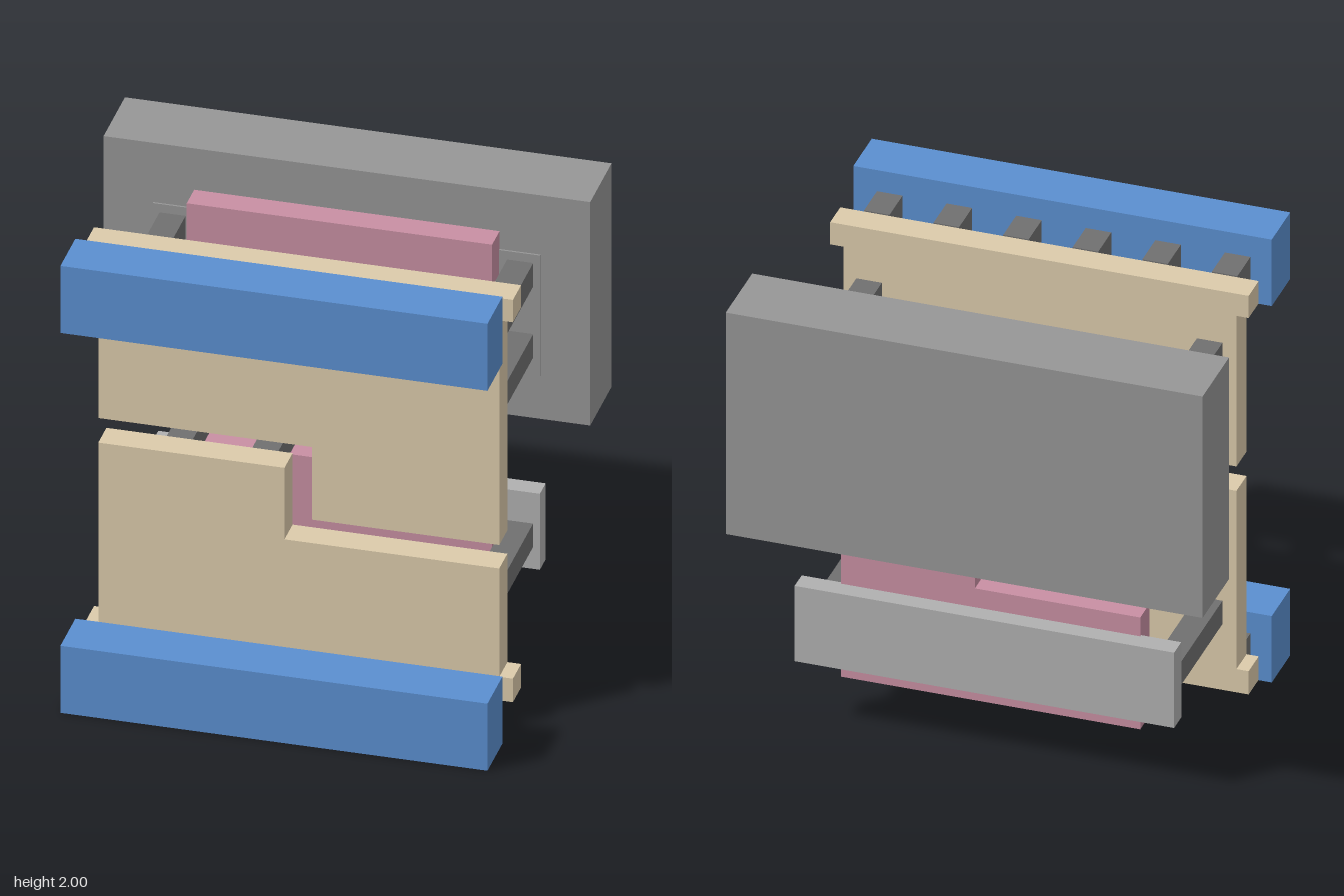
import * as THREE from 'three';

const paint = (color) => new THREE.MeshStandardMaterial({ color });

export function createModel() {
  const model = new THREE.Group();
  const blue = paint(0x5b8fd0), tan = paint(0xdccbab), pink = paint(0xc88fa3);
  const rodGrey = paint(0x707070), wallGrey = paint(0x969696), plateGrey = paint(0xb0b0b0);

  // Box given by its extents on each axis
  function box(name, material, [x0, x1], [y0, y1], [z0, z1]) {
    const mesh = new THREE.Mesh(new THREE.BoxGeometry(x1 - x0, y1 - y0, z1 - z0), material);
    mesh.position.set((x0 + x1) / 2, (y0 + y1) / 2, (z0 + z1) / 2);
    mesh.name = name;
    model.add(mesh);
  }

  // Flat plate cut from an outline in x and y
  function plate(name, material, outline, [z0, z1]) {
    const shape = new THREE.Shape(outline.map(([x, y]) => new THREE.Vector2(x, y)));
    const geometry = new THREE.ExtrudeGeometry(shape, { depth: z1 - z0, bevelEnabled: false });
    const mesh = new THREE.Mesh(geometry, material);
    mesh.position.z = z0;
    mesh.name = name;
    model.add(mesh);
  }

  const rod = (name, x, y, z) =>
    box(name, rodGrey, [x - 0.0525, x + 0.0525], [y - 0.0525, y + 0.0525], z);

  // Front bars
  box('upperFrontBar', blue, [-0.86, 0.86], [1.7, 2], [0.475, 0.695]);
  box('lowerFrontBar', blue, [-0.86, 0.86], [0, 0.3], [0.475, 0.695]);

  // Stepped front plates with wider outer rails
  const frontZ = [0.2, 0.32];
  plate('upperFrontPlate', tan, [
    [-0.86, 1.9], [-0.86, 1.8], [-0.81, 1.8], [-0.81, 1.12], [0.05, 1.12], [0.05, 0.795],
    [0.805, 0.795], [0.805, 1.8], [0.86, 1.8], [0.86, 1.9],
  ], frontZ);
  plate('lowerFrontPlate', tan, [
    [-0.86, 0.1], [0.86, 0.1], [0.86, 0.205], [0.805, 0.205], [0.805, 0.69], [-0.06, 0.69],
    [-0.06, 1.01], [-0.81, 1.01], [-0.81, 0.205], [-0.86, 0.205],
  ], frontZ);

  // Stepped inner plates
  const innerZ = [-0.38, -0.27];
  plate('upperInnerPlate', pink, [
    [-0.615, 1.785], [-0.615, 0.865], [-0.065, 0.865], [-0.065, 1.085], [0.615, 1.085], [0.615, 1.785],
  ], innerZ);
  plate('lowerInnerPlate', pink, [
    [-0.615, 0.22], [0.615, 0.22], [0.615, 0.945], [0.065, 0.945], [0.065, 0.725], [-0.615, 0.725],
  ], innerZ);

  // Rear block with its shallow pad, and the lower rear plate
  box('rearBlock', wallGrey, [-0.98, 0.98], [0.97, 1.97], [-0.695, -0.38]);
  box('rearBlockPad', wallGrey, [-0.78, 0.78], [1.165, 1.705], [-0.39, -0.372]);
  box('lowerRearPlate', plateGrey, [-0.78, 0.78], [0.3, 0.64], [-0.455, -0.37]);

  // Short rods between the front bars and the front plates
  for (let i = 0; i < 6; i++) {
    const x = -0.72 + i * 0.286;
    rod('upperFrontRod', x, 1.8525, [0.32, 0.475]);
    rod('lowerFrontRod', x, 0.1525, [0.32, 0.475]);
  }

  // Long rods from the front plates to the rear parts
  for (const x of [-0.7, 0.7])
    for (const y of [1.615, 1.297, 0.45]) rod('rearRod', x, y, [-0.372, 0.2]);

  // Rods that cross-link the front plates and the inner plates
  for (const x of [-0.515, -0.17]) rod('leftLinkRod', x, 0.957, [-0.27, 0.2]);
  for (const x of [0.165, 0.51]) rod('rightLinkRod', x, 0.8475, [-0.27, 0.2]);

  return model;
}
